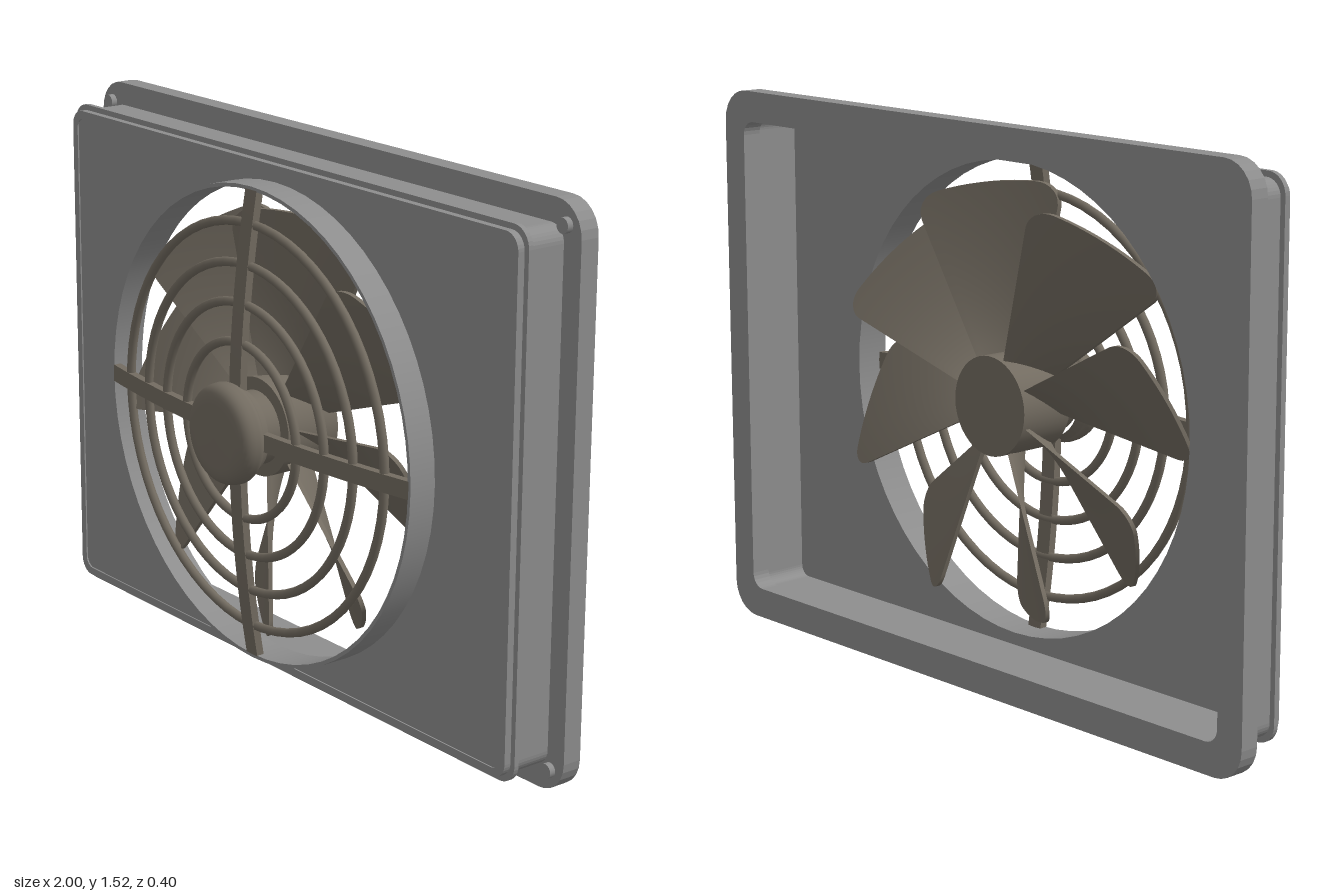
import * as THREE from 'three';

const CY = 0.763; // height of the fan axis
const rad = THREE.MathUtils.degToRad;

const grey = new THREE.MeshStandardMaterial({ color: 0x8e8e8e });
grey.name = 'housing grey';
const brown = new THREE.MeshStandardMaterial({ color: 0x736c61 });
brown.name = 'fan brown grey';

// Rounded rectangle of half size w, h and corner radius r
function roundedRect(w, h, r, Type = THREE.Shape) {
  const s = new Type();
  s.moveTo(-w + r, -h);
  s.lineTo(w - r, -h);
  s.absarc(w - r, -h + r, r, -Math.PI / 2, 0);
  s.lineTo(w, h - r);
  s.absarc(w - r, h - r, r, 0, Math.PI / 2);
  s.lineTo(-w + r, h);
  s.absarc(-w + r, h - r, r, Math.PI / 2, Math.PI);
  s.lineTo(-w, -h + r);
  s.absarc(-w + r, -h + r, r, Math.PI, Math.PI * 1.5);
  return s;
}

// Extrude a shape between two depths
function slab(shape, z0, z1, curveSegments = 4) {
  const g = new THREE.ExtrudeGeometry(shape, { depth: z1 - z0, bevelEnabled: false, curveSegments });
  return g.translate(0, 0, z0);
}

function frame(w, h, r, innerW, innerH, innerR, z0, z1, seg) {
  const s = roundedRect(w, h, r);
  s.holes.push(roundedRect(innerW, innerH, innerR, THREE.Path));
  return slab(s, z0, z1, seg);
}

// Front depth of the bowed grille at a given radius
const bow = (r) => 0.132 - 0.058 * (r / 0.65) ** 2;

// Twisted wedge with a rounded tip, made by bending a subdivided box
function bladeGeometry() {
  const g = new THREE.BoxGeometry(2, 1, 1, 12, 20, 1);
  const p = g.attributes.position;
  const root = 0.11, tip = 0.587, corner = 0.06;
  for (let i = 0; i < p.count; i++) {
    const u = p.getX(i);
    const v = 1 - (0.5 - p.getY(i)) ** 2;
    const r = root + (tip - root) * v;
    const t = Math.max(0, (r - (tip - corner)) / corner);
    const half = r * rad(17.5) - corner * (1 - Math.sqrt(Math.max(0, 1 - t * t)));
    const a = (u * half) / r;
    const rise = 0.06 + 0.045 * v;
    const z = -0.03 - (u * half / (r * rad(17.5))) * rise + p.getZ(i) * 0.014;
    p.setXYZ(i, r * Math.sin(a), r * Math.cos(a), z);
  }
  g.computeVertexNormals();
  return g;
}

// Long bar that follows the bow of the grille
function barGeometry() {
  const g = new THREE.BoxGeometry(1.292, 0.048, 0.022, 32, 1, 1);
  const p = g.attributes.position;
  for (let i = 0; i < p.count; i++) {
    p.setZ(i, p.getZ(i) - 0.011 + bow(Math.abs(p.getX(i))));
  }
  g.computeVertexNormals();
  return g;
}

export function createModel() {
  const model = new THREE.Group();
  model.name = 'wallFan';
  const body = new THREE.Group();
  body.name = 'fanBody';
  body.position.y = CY;
  model.add(body);

  const add = (name, geometry, material, parent = body) => {
    const m = new THREE.Mesh(geometry, material);
    m.name = name;
    parent.add(m);
    return m;
  };

  // Housing: back flange, box walls, sealing rim
  add('backFlange', frame(1, 0.7625, 0.09, 0.918, 0.677, 0.04, -0.2, -0.145, 3), grey);
  add('boxWalls', frame(0.94, 0.699, 0.045, 0.918, 0.677, 0.03, -0.145, 0, 4), grey);
  add('sealingRim', frame(0.955, 0.714, 0.055, 0.935, 0.694, 0.04, -0.034, -0.02, 4), grey);

  // Front plate with round opening
  const plate = roundedRect(0.92, 0.679, 0.03);
  const hole = new THREE.Path();
  hole.absarc(0, 0, 0.648, 0, Math.PI * 2, true);
  plate.holes.push(hole);
  add('frontPlate', slab(plate, -0.02, -0.004, 24), grey);

  // Short round duct
  const ductProfile = [[0.643, -0.02], [0.653, -0.02], [0.653, 0.075], [0.643, 0.075], [0.643, -0.02]];
  const duct = new THREE.Group();
  duct.name = 'duct';
  body.add(duct);
  for (let i = 0; i < 4; i++) {
    const pts = [ductProfile[i], ductProfile[i + 1]].map(([x, y]) => new THREE.Vector2(x, y));
    add('ductFace', new THREE.LatheGeometry(pts, 64).rotateX(Math.PI / 2), grey, duct);
  }

  // Corner screws
  for (const x of [-0.95, 0.95]) {
    for (const y of [-0.702, 0.702]) {
      const screw = new THREE.CylinderGeometry(0.02, 0.02, 0.02, 16).rotateX(Math.PI / 2);
      add('cornerScrew', screw, grey).position.set(x, y, -0.138);
    }
  }

  // Grille: concentric rings and crossed bars
  const grille = new THREE.Group();
  grille.name = 'grille';
  body.add(grille);
  for (const r of [0.24, 0.345, 0.448, 0.555]) {
    add('grilleRing', new THREE.TorusGeometry(r, 0.0125, 8, 64), brown, grille).position.z = bow(r) - 0.0125;
  }
  for (const angle of [0, Math.PI / 2]) {
    add('grilleBar', barGeometry(), brown, grille).rotation.z = angle;
  }

  // Domed cap in front of the grille
  const cap = new THREE.Path();
  cap.moveTo(0.115, 0.105);
  cap.lineTo(0.128, 0.13);
  cap.quadraticCurveTo(0.139, 0.138, 0.138, 0.15);
  cap.bezierCurveTo(0.138, 0.185, 0.12, 0.198, 0.085, 0.199);
  cap.lineTo(0, 0.2);
  add('frontCap', new THREE.LatheGeometry(cap.getPoints(8), 40).rotateX(Math.PI / 2), brown);

  // Rotor: hub and eight twisted blades
  const rotor = new THREE.Group();
  rotor.name = 'rotor';
  body.add(rotor);
  const hub = new THREE.CylinderGeometry(0.135, 0.135, 0.165, 40).rotateX(Math.PI / 2);
  add('hub', hub, brown, rotor).position.z = -0.0275;
  const shaft = new THREE.CylinderGeometry(0.1, 0.1, 0.08, 32).rotateX(Math.PI / 2);
  add('shaft', shaft, brown, rotor).position.z = 0.08;
  const blade = bladeGeometry();
  for (let i = 0; i < 8; i++) {
    add('blade', blade, brown, rotor).rotation.z = rad(-9 + i * 45);
  }

  return model;
}
